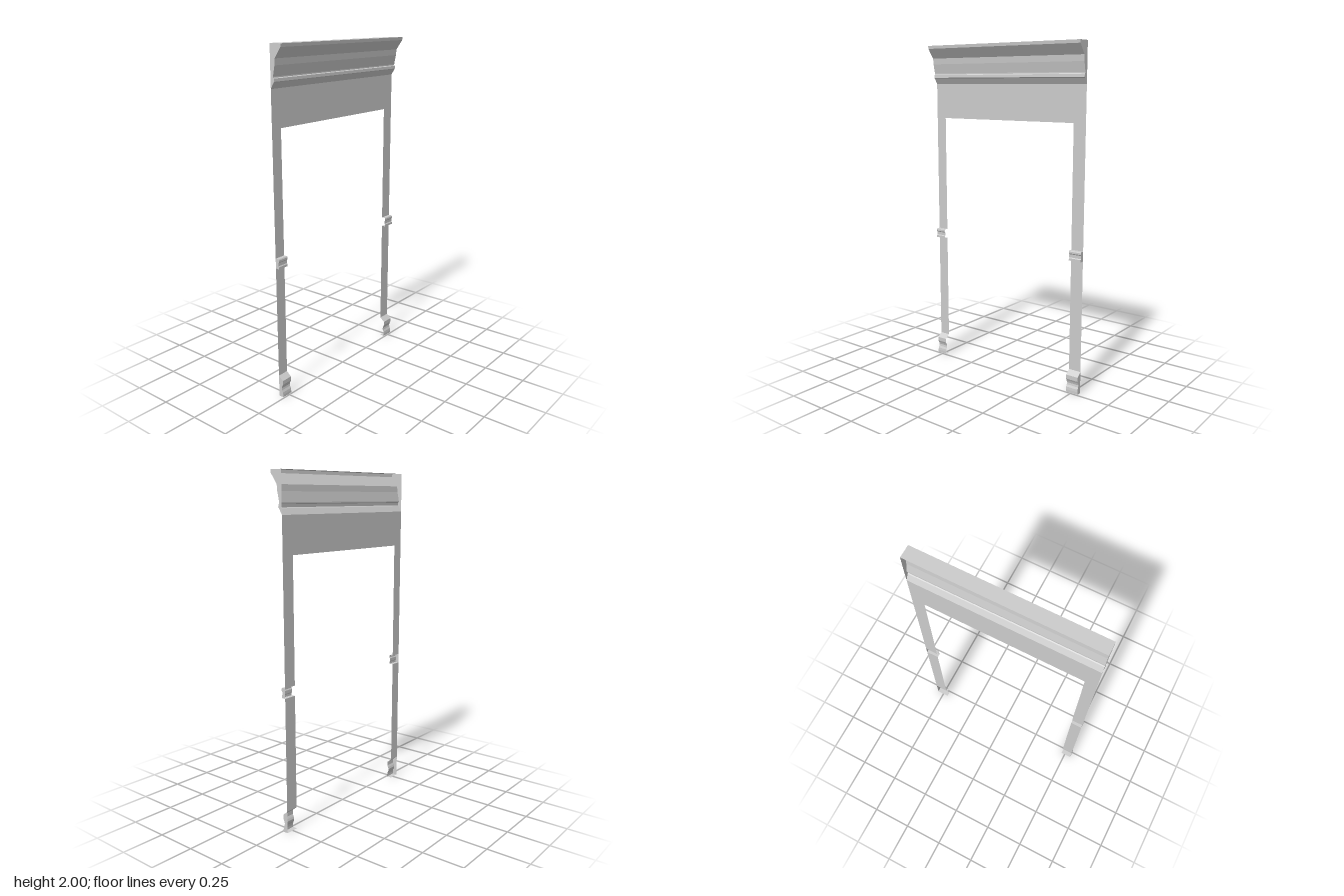
import * as THREE from 'three';

const WALL = -0.038;  // plane of the flat panel
const END = 0.543;    // outer ends along z
const INNER = [0.475, -0.465]; // inner edges of the two legs

const material = new THREE.MeshStandardMaterial({
  color: 0xcccccc, flatShading: true, side: THREE.DoubleSide,
});

// Moulding profiles as [x, y], from the wall at the top to the wall at the bottom
const crownProfile = [
  [WALL, 2], [0.038, 2], [0.036, 1.982], [-0.005, 1.925], [-0.008, 1.89],
  [-0.02, 1.834], [-0.02, 1.828], [-0.014, 1.824], [-0.013, 1.808],
  [-0.018, 1.803], [WALL, 1.77],
];
const railProfile = [
  [WALL, 0.848], [-0.016, 0.848], [-0.013, 0.842], [-0.013, 0.832],
  [-0.017, 0.826], [-0.017, 0.808], [-0.013, 0.803], [-0.013, 0.79], [WALL, 0.79],
];
const baseProfile = [
  [WALL, 0.13], [-0.008, 0.105], [-0.008, 0.08], [-0.014, 0.068], [-0.018, 0.055],
  [-0.016, 0.042], [-0.01, 0.03], [-0.008, 0.015], [-0.008, 0], [WALL, 0],
];

// Open strip swept along z, facing +x
function sweep(profile, z0, z1) {
  const pos = [];
  for (let i = 0; i < profile.length - 1; i++) {
    const [px, py] = profile[i], [qx, qy] = profile[i + 1];
    pos.push(px, py, z0, px, py, z1, qx, qy, z1);
    pos.push(px, py, z0, qx, qy, z1, qx, qy, z0);
  }
  const g = new THREE.BufferGeometry();
  g.setAttribute('position', new THREE.Float32BufferAttribute(pos, 3));
  g.computeVertexNormals();
  return g;
}

function add(parent, name, geometry) {
  const mesh = new THREE.Mesh(geometry, material);
  mesh.name = name;
  parent.add(mesh);
  return mesh;
}

// Hollow moulding with end caps only at the given z positions
function moulding(name, profile, z0, z1, capPositions) {
  const group = new THREE.Group();
  group.name = name;
  add(group, name + 'Face', sweep(profile, z0, z1));
  const shape = new THREE.Shape(profile.map(([x, y]) => new THREE.Vector2(x, y)));
  for (const z of capPositions) {
    add(group, name + 'Cap', new THREE.ShapeGeometry(shape)).position.z = z;
  }
  return group;
}

// Flat piece of the wall panel
const flat = (y1, y0, z0, z1) => sweep([[WALL, y1], [WALL, y0]], z0, z1);

export function createModel() {
  const model = new THREE.Group();
  model.name = 'doorSurround';

  // Crown and the panel under it
  model.add(moulding('crown', crownProfile, -END, END, [-END, END]));
  add(model, 'headPanel', flat(1.77, 1.56, -END, END));

  // Legs, interrupted by the rail and base mouldings
  ['leftLeg', 'rightLeg'].forEach((name, i) => {
    const outer = i === 0 ? END : -END;
    const z0 = Math.min(INNER[i], outer), z1 = Math.max(INNER[i], outer);
    const leg = new THREE.Group();
    leg.name = name;
    add(leg, 'upperPanel', flat(1.56, 0.848, z0, z1));
    leg.add(moulding('rail', railProfile, z0, z1, [outer]));
    add(leg, 'lowerPanel', flat(0.79, 0.13, z0, z1));
    leg.add(moulding('base', baseProfile, z0, z1, [outer]));
    model.add(leg);
  });

  return model;
}
